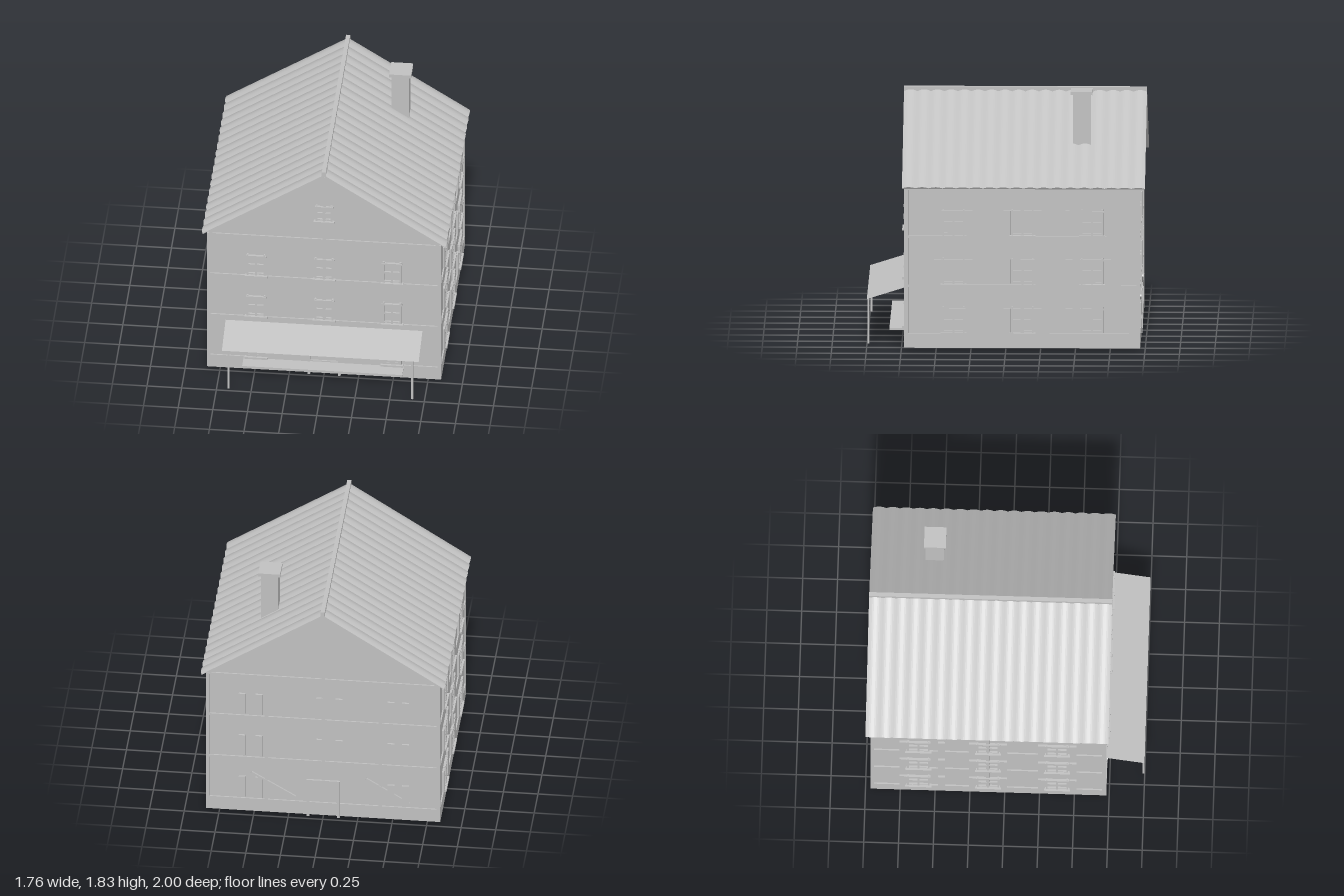
import * as THREE from 'three';

export function createModel() {
  const model = new THREE.Group();
  const grey = new THREE.MeshStandardMaterial({ color: 0xc0c0c0 });
  grey.name = 'plain grey';
  const greySheet = grey.clone();
  greySheet.side = THREE.DoubleSide;

  const add = (parent, name, geometry, material = grey) => {
    const mesh = new THREE.Mesh(geometry, material);
    mesh.name = name;
    parent.add(mesh);
    return mesh;
  };
  // Box given by its limits on each axis
  const box = (parent, name, x0, x1, y0, y1, z0, z1) => {
    const mesh = add(parent, name, new THREE.BoxGeometry(x1 - x0, y1 - y0, z1 - z0));
    mesh.position.set((x0 + x1) / 2, (y0 + y1) / 2, (z0 + z1) / 2);
    return mesh;
  };
  // Slanted beam lying on a facade
  const beam = (parent, name, xa, ya, xb, yb, width, z0, z1) => {
    const length = Math.hypot(xb - xa, yb - ya);
    const mesh = add(parent, name, new THREE.BoxGeometry(length, width, z1 - z0));
    mesh.position.set((xa + xb) / 2, (ya + yb) / 2, (z0 + z1) / 2);
    mesh.rotation.z = Math.atan2(yb - ya, xb - xa);
  };
  const group = (name, x, z, turn) => {
    const g = new THREE.Group();
    g.name = name;
    g.position.set(x, 0, z);
    g.rotation.y = turn;
    model.add(g);
    return g;
  };

  const WX = 0.835, FRONT = 0.72, BACK = -0.955, MID = -0.12;
  const floors = [0.12, 0.475, 0.83];

  // Plinth and gabled walls
  box(model, 'plinth', -0.845, 0.845, 0.015, 0.12, -0.965, 0.73);
  const outline = new THREE.Shape([[-WX, 0.1], [WX, 0.1], [WX, 1.19], [0, 1.735], [-WX, 1.19]]
    .map(p => new THREE.Vector2(...p)));
  add(model, 'walls', new THREE.ExtrudeGeometry(outline, { depth: FRONT - BACK, bevelEnabled: false }))
    .position.z = BACK;

  // Window with a frame, glazing bars and a sill
  const makeWindow = (parent, x, y, w, h) => {
    const g = new THREE.Group();
    g.name = 'window';
    g.position.set(x, y, 0);
    parent.add(g);
    const t = 0.012;
    for (const s of [-1, 1]) {
      const c = s * (w / 2 - t / 2);
      box(g, 'jamb', c - t / 2, c + t / 2, 0, h, 0, 0.014);
    }
    box(g, 'lintel', -w / 2 - 0.006, w / 2 + 0.006, h - 0.022, h - 0.01, 0, 0.018);
    box(g, 'bottomRail', -w / 2, w / 2, 0.012, 0.022, 0, 0.014);
    box(g, 'mullion', -0.007, 0.007, 0, h - 0.02, 0, 0.016);
    box(g, 'glazingBar', -w / 2, w / 2, h / 2 - 0.006, h / 2 + 0.006, 0, 0.013);
    box(g, 'sill', -w / 2 - 0.014, w / 2 + 0.014, -0.01, 0.006, 0, 0.028);
  };
  const shutter = (parent, x, y) =>
    box(parent, 'shutter', x - 0.025, x + 0.025, y + 0.01, y + 0.185, 0, 0.014);

  // Timber grid shared by all facades
  const timber = (g, half, posts) => {
    for (const y of [...floors, 1.18]) box(g, 'floorBeam', -half, half, y - 0.016, y, 0, 0.01);
    for (const s of [-1, 1]) box(g, 'cornerPost', s * half - 0.0125 - s * 0.0125, s * half + 0.0125 - s * 0.0125, 0.12, 1.18, 0, 0.01);
    for (const x of posts) box(g, 'post', x - 0.0125, x + 0.0125, 0.12, 1.18, 0, 0.01);
  };

  // Front and back gable facades
  for (const front of [true, false]) {
    const g = group(front ? 'frontFacade' : 'backFacade', 0, front ? FRONT : BACK, front ? 0 : Math.PI);
    const m = front ? 1 : -1;
    timber(g, 0.845, [-0.4125, 0.4125]);
    box(g, 'centrePost', -0.0125, 0.0125, 0.31, 1.72, 0, 0.01);
    for (const s of [-1, 1]) {
      beam(g, 'gableRafter', s * 0.83, 1.182, 0, 1.718, 0.026, 0, 0.01);
      // Door frame posts
      box(g, 'doorPost', s * 0.11 - 0.01, s * 0.11 + 0.01, 0, 0.31, 0, 0.014);
    }
    box(g, 'doorLintel', -0.12, 0.12, 0.29, 0.31, 0, 0.014);
    beam(g, 'brace', m * -0.62, 0.155, m * -0.31, 0.345, 0.015, 0, 0.014);
    beam(g, 'brace', m * 0.2, 0.155, m * 0.52, 0.345, 0.015, 0, 0.014);
    if (front) {
      for (const y of floors) for (const x of [-0.49, 0, 0.49])
        if (x || y > 0.2) makeWindow(g, x, y, 0.135, 0.185);
      makeWindow(g, 0, 1.335, 0.12, 0.14);
    } else {
      for (const y of floors) for (const x of [-0.585, -0.465, -0.025, 0.115, 0.49, 0.595])
        if (y > 0.2 || Math.abs(x) > 0.2) shutter(g, x, y);
    }
  }

  // Long side facades
  for (const s of [1, -1]) {
    const g = group(s > 0 ? 'leftFacade' : 'rightFacade', s * WX, MID, s * Math.PI / 2);
    timber(g, 0.845, [0]);
    for (const y of floors) {
      for (const u of [-0.495, 0, 0.5]) makeWindow(g, s * u, y, 0.16, 0.195);
      for (const u of [-0.61, -0.385, -0.1125, 0.1125, 0.335, 0.61]) shutter(g, s * u, y);
    }
  }

  // Tiled roof: a scalloped section extruded down each slope
  const LEN = 1.745, WAVES = 18, STEPS = 8;
  const section = new THREE.Shape();
  section.moveTo(-LEN / 2, 0);
  section.lineTo(LEN / 2, 0);
  for (let i = WAVES * STEPS; i >= 0; i--) {
    const t = i / STEPS;
    section.lineTo(-LEN / 2 + LEN * t / WAVES, 0.006 + 0.011 * Math.abs(Math.sin(Math.PI * t)));
  }
  const angle = Math.atan2(0.57, 0.88), c = Math.cos(angle), sn = Math.sin(angle);
  const slope = new THREE.ExtrudeGeometry(section, { depth: Math.hypot(0.57, 0.87), bevelEnabled: false });
  slope.applyMatrix4(new THREE.Matrix4().makeBasis(
    new THREE.Vector3(0, 0, -1), new THREE.Vector3(sn, c, 0), new THREE.Vector3(c, -sn, 0)));
  for (const turn of [0, Math.PI]) {
    const side = add(model, 'roofSlope', slope);
    side.position.set(0, 1.743, -0.1275);
    side.rotation.y = turn;
  }
  box(model, 'ridgeCap', -0.015, 0.015, 1.735, 1.775, -1, 0.745);

  // Chimney
  box(model, 'chimney', 0.365, 0.49, 1.4, 1.8, -0.605, -0.475);
  box(model, 'chimneyCap', 0.35, 0.508, 1.8, 1.825, -0.617, -0.46);

  // Sheet awning on two posts
  const awning = add(model, 'awning', new THREE.PlaneGeometry(1.42, Math.hypot(0.27, 0.085)), greySheet);
  awning.position.set(0, 0.3875, 0.865);
  awning.rotation.x = -Math.atan2(0.27, 0.085);
  for (const s of [-1, 1]) {
    box(model, 'awningPost', s * 0.663 - 0.007, s * 0.663 + 0.007, 0.015, 0.345, 0.983, 0.997);
  }

  // Bench along the front wall
  box(model, 'benchSeat', -0.58, 0.575, 0.098, 0.111, 0.72, 0.84);
  for (const s of [-1, 1])
    box(model, 'benchBack', s * 0.34 - 0.22, s * 0.34 + 0.22, 0.111, 0.23, 0.72, 0.732);

  return model;
}
